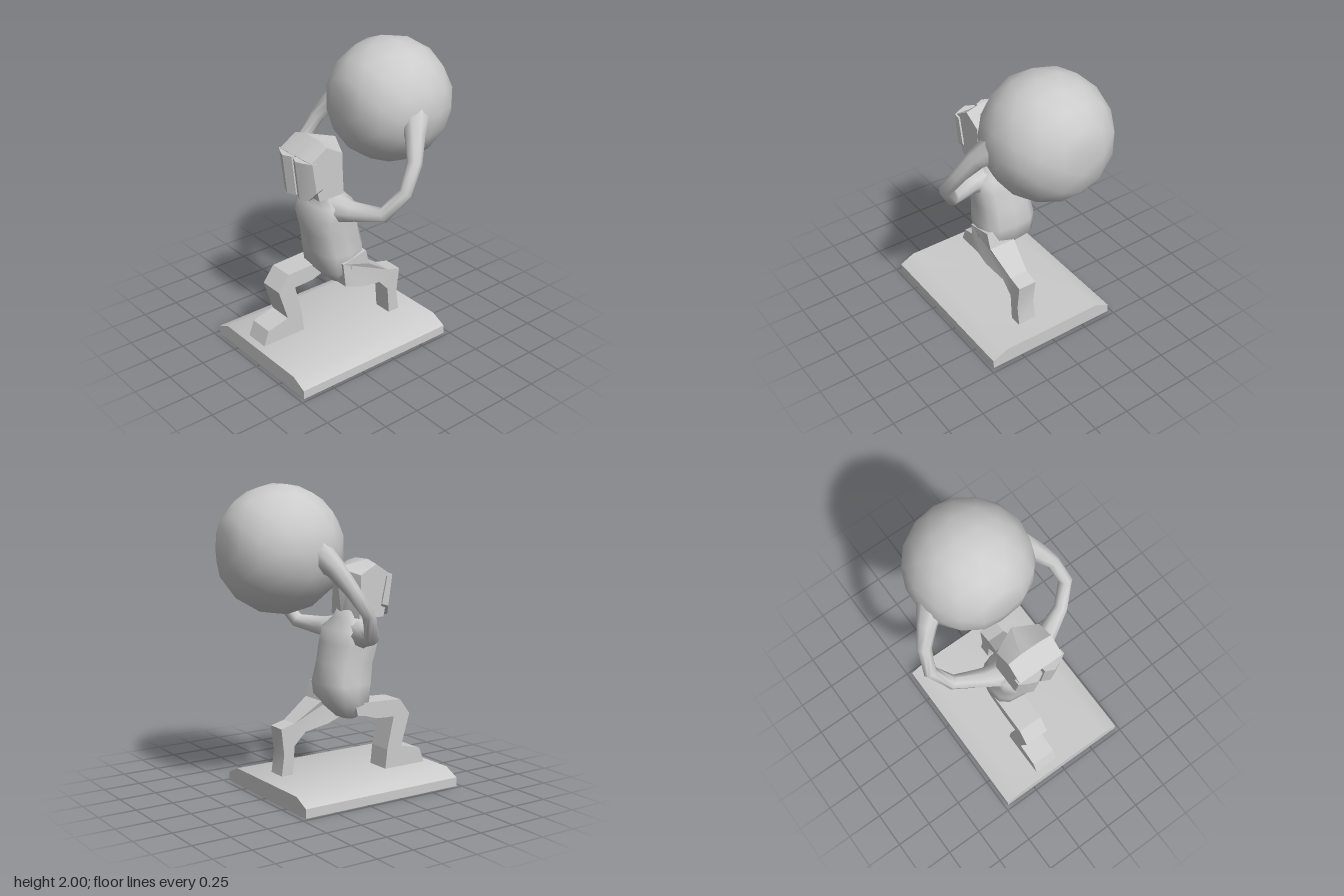
import * as THREE from 'three';
import { mergeVertices, toCreasedNormals } from 'three/addons/utils/BufferGeometryUtils.js';

const V = (x, y, z) => new THREE.Vector3(x, y, z);
const material = new THREE.MeshStandardMaterial({ color: 0xcccccc });

function addMesh(group, name, geometry) {
  const mesh = new THREE.Mesh(geometry, material);
  mesh.name = name;
  group.add(mesh);
  return mesh;
}

// Skin closed rings of equal size, fan the end caps, and face everything outward
function loft(rings, crease) {
  const n = rings[0].length, points = rings.flat(), index = [];
  for (let i = 0; i < rings.length - 1; i++) {
    for (let j = 0; j < n; j++) {
      const a = i * n + j, b = i * n + (j + 1) % n;
      index.push(a, b, b + n, a, b + n, a + n);
    }
  }
  [[rings[0], 0], [rings[rings.length - 1], (rings.length - 1) * n]].forEach(([ring, start], end) => {
    const centre = points.length;
    points.push(ring.reduce((sum, p) => sum.add(p), V(0, 0, 0)).divideScalar(n));
    for (let j = 0; j < n; j++) {
      const a = start + j, b = start + (j + 1) % n;
      if (end) index.push(a, b, centre);
      else index.push(b, a, centre);
    }
  });
  let volume = 0;
  const origin = points[0], rel = (k) => points[index[k]].clone().sub(origin);
  for (let k = 0; k < index.length; k += 3) volume += rel(k).dot(rel(k + 1).cross(rel(k + 2)));
  if (volume < 0) index.reverse();
  const geometry = new THREE.BufferGeometry().setFromPoints(points);
  geometry.setIndex(index);
  return toCreasedNormals(geometry, crease);
}

// Extrude a side outline of [z, y] points between two x positions
function sideExtrude(outline, x0, x1) {
  const shape = new THREE.Shape(outline.map(([z, y]) => new THREE.Vector2(z, y)));
  return new THREE.ExtrudeGeometry(shape, { depth: x1 - x0, bevelEnabled: false })
    .rotateY(-Math.PI / 2).translate(x1, 0, 0);
}

// Limb of varying thickness along [x, y, z, radius] stations
function limb(stations, sides) {
  const p = stations.map(([x, y, z]) => V(x, y, z));
  const rings = p.map((c, i) => {
    const dir = p[Math.min(i + 1, p.length - 1)].clone().sub(p[Math.max(i - 1, 0)]).normalize();
    const u = V(0, 0, 1).addScaledVector(dir, -dir.z).normalize();
    const v = dir.clone().cross(u);
    return Array.from({ length: sides }, (_, k) => {
      const a = (k / sides) * Math.PI * 2, r = stations[i][3];
      return c.clone().addScaledVector(u, Math.cos(a) * r).addScaledVector(v, Math.sin(a) * r);
    });
  });
  return loft(rings, 1.3);
}

export function createModel() {
  const model = new THREE.Group();
  model.name = 'boulderCarrier';

  // Plinth with sloping long edges
  const slab = new THREE.Shape([[-0.475, 0], [0.475, 0], [0.475, 0.06], [0.37, 0.11], [-0.37, 0.11], [-0.475, 0.06]]
    .map(([x, y]) => new THREE.Vector2(x, y)));
  const plinth = new THREE.ExtrudeGeometry(slab, { depth: 1.185, bevelEnabled: false }).translate(0, 0, -0.465);
  addMesh(model, 'plinth', toCreasedNormals(plinth, 0.6));

  // Boulder: faceted ball flattened at front and back
  let ball = new THREE.IcosahedronGeometry(0.41, 2);
  ball.deleteAttribute('normal');
  ball.deleteAttribute('uv');
  ball = mergeVertices(ball, 1e-4);
  const bp = ball.attributes.position;
  for (let i = 0; i < bp.count; i++) {
    bp.setZ(i, THREE.MathUtils.clamp(bp.getZ(i), -0.37, 0.37));
    bp.setY(i, THREE.MathUtils.clamp(bp.getY(i), -0.405, 0.405));
  }
  ball.computeVertexNormals();
  addMesh(model, 'boulder', ball).position.set(0, 1.595, -0.35);

  // Torso and neck: [y, back z, front z, half width]
  const torso = [
    [0.47, 0.08, 0.18, 0.12], [0.57, -0.03, 0.27, 0.2], [0.70, -0.05, 0.29, 0.2],
    [0.83, -0.02, 0.31, 0.185], [0.96, 0.01, 0.335, 0.205], [1.05, 0.035, 0.31, 0.2],
    [1.12, 0.1, 0.27, 0.125], [1.2, 0.13, 0.3, 0.11],
  ].map(([y, z0, z1, w]) => Array.from({ length: 12 }, (_, k) => {
    const a = (k / 12) * Math.PI * 2, round = (t) => Math.sign(t) * Math.abs(t) ** 0.7;
    return V(w * round(Math.cos(a)), y, (z0 + z1) / 2 + (z1 - z0) / 2 * round(Math.sin(a)));
  }));
  addMesh(model, 'torso', loft(torso, 1.3));

  // Head: side profiles at five x stations, ridged at the back
  const head = [-0.16, -0.07, 0, 0.07, 0.16].map((x) => {
    const t = Math.abs(x) / 0.16, top = t > 0.9 ? 0.025 : 0;
    return [[0.4, 1.4], [0.28, 1.5 - top], [0.09 + 0.07 * t, 1.45 - 0.04 * t], [0.09 + 0.07 * t, 1.35],
      [0.12 + 0.03 * t, 1.13], [0.34, 1.13]].map(([z, y]) => V(x, y, z));
  });
  addMesh(model, 'head', loft(head, 0.4));

  // Face: two mirrored plates with a groove between; [x, front z, bottom y]
  for (const side of [1, -1]) {
    const plate = [[0.008, 0.425, 1.13], [0.065, 0.452, 1.13], [0.12, 0.43, 1.135], [0.172, 0.4, 1.2]]
      .map(([x, z, y]) => [[z, 1.4], [0.36, 1.395], [0.32, y + 0.015], [z - 0.03, y]]
        .map(([pz, py]) => V(side * x, py, pz)));
    addMesh(model, side > 0 ? 'leftFacePlate' : 'rightFacePlate', loft(plate, 0.4));

    // Arms raised around the head to the boulder
    const arm = [[0.13, 1.02, 0.17, 0.1], [0.24, 1.03, 0.14, 0.068], [0.43, 1.055, 0.05, 0.048],
      [0.527, 1.215, -0.04, 0.045], [0.49, 1.37, -0.14, 0.048], [0.41, 1.5, -0.21, 0.065], [0.31, 1.6, -0.29, 0.1]]
      .map(([x, y, z, r]) => [side * x, y, z, r]);
    addMesh(model, side > 0 ? 'leftArm' : 'rightArm', limb(arm, 8));
  }

  // Front leg with bent knee and foot
  addMesh(model, 'rightLeg', sideExtrude([
    [0.1, 0.58], [0.24, 0.58], [0.46, 0.57], [0.54, 0.465], [0.475, 0.25], [0.63, 0.21], [0.67, 0.105],
    [0.345, 0.105], [0.36, 0.24], [0.41, 0.46], [0.36, 0.46], [0.27, 0.465], [0.19, 0.49], [0.12, 0.5],
  ], -0.19, -0.02));

  // Trailing leg, narrowing from hip to knee
  const rear = sideExtrude([
    [0.19, 0.65], [0.0, 0.69], [-0.03, 0.58], [-0.22, 0.45], [-0.32, 0.425], [-0.3, 0.25], [-0.32, 0.105],
    [-0.235, 0.105], [-0.22, 0.3], [-0.14, 0.385], [0.02, 0.425], [0.17, 0.48],
  ], -1, 1);
  const rp = rear.attributes.position;
  for (let i = 0; i < rp.count; i++) {
    const half = THREE.MathUtils.lerp(0.065, 0.1, THREE.MathUtils.smoothstep(rp.getZ(i), -0.2, 0.03));
    rp.setX(i, 0.105 + rp.getX(i) * half);
  }
  addMesh(model, 'leftLeg', toCreasedNormals(rear, 0.3));

  return model;
}
